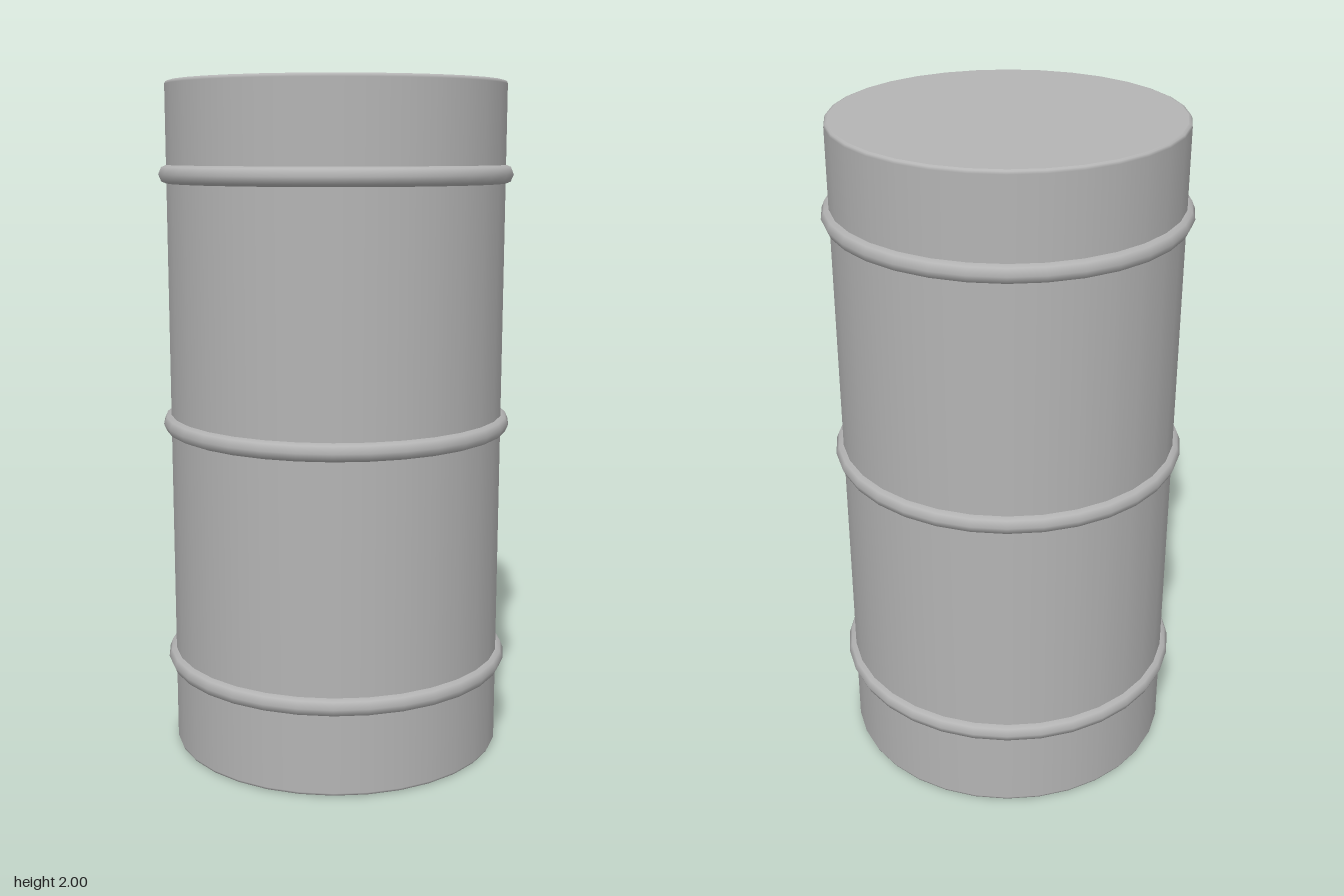
import * as THREE from 'three';

const SIDES = 32;

export function createModel() {
  const group = new THREE.Group();
  group.name = 'drum';
  const steel = new THREE.MeshStandardMaterial({ color: 0xb4b4b4 });
  steel.name = 'grey steel';

  function addPart(name, geometry, y = 0) {
    const mesh = new THREE.Mesh(geometry, steel);
    mesh.name = name;
    mesh.position.y = y;
    group.add(mesh);
    return mesh;
  }

  // Body wall with small rounded edges at both ends
  const r = 0.5, h = 2, b = 0.01;
  const profile = [
    [r - b, 0], [r - b * 0.3, b * 0.3], [r, b],
    [r, h - b], [r - b * 0.3, h - b * 0.3], [r - b, h],
  ].map(([x, y]) => new THREE.Vector2(x, y));
  addPart('body', new THREE.LatheGeometry(profile, SIDES));

  // Flat end caps
  const cap = new THREE.CircleGeometry(r - b, SIDES);
  addPart('lid', cap, h).rotation.x = -Math.PI / 2;
  addPart('base', cap, 0).rotation.x = Math.PI / 2;

  // Three raised hoops
  const hoop = new THREE.TorusGeometry(0.494, 0.029, 8, SIDES).rotateX(Math.PI / 2);
  [['lowerHoop', 0.27], ['middleHoop', 1], ['upperHoop', 1.735]].forEach(([name, y]) => addPart(name, hoop, y));

  return group;
}
